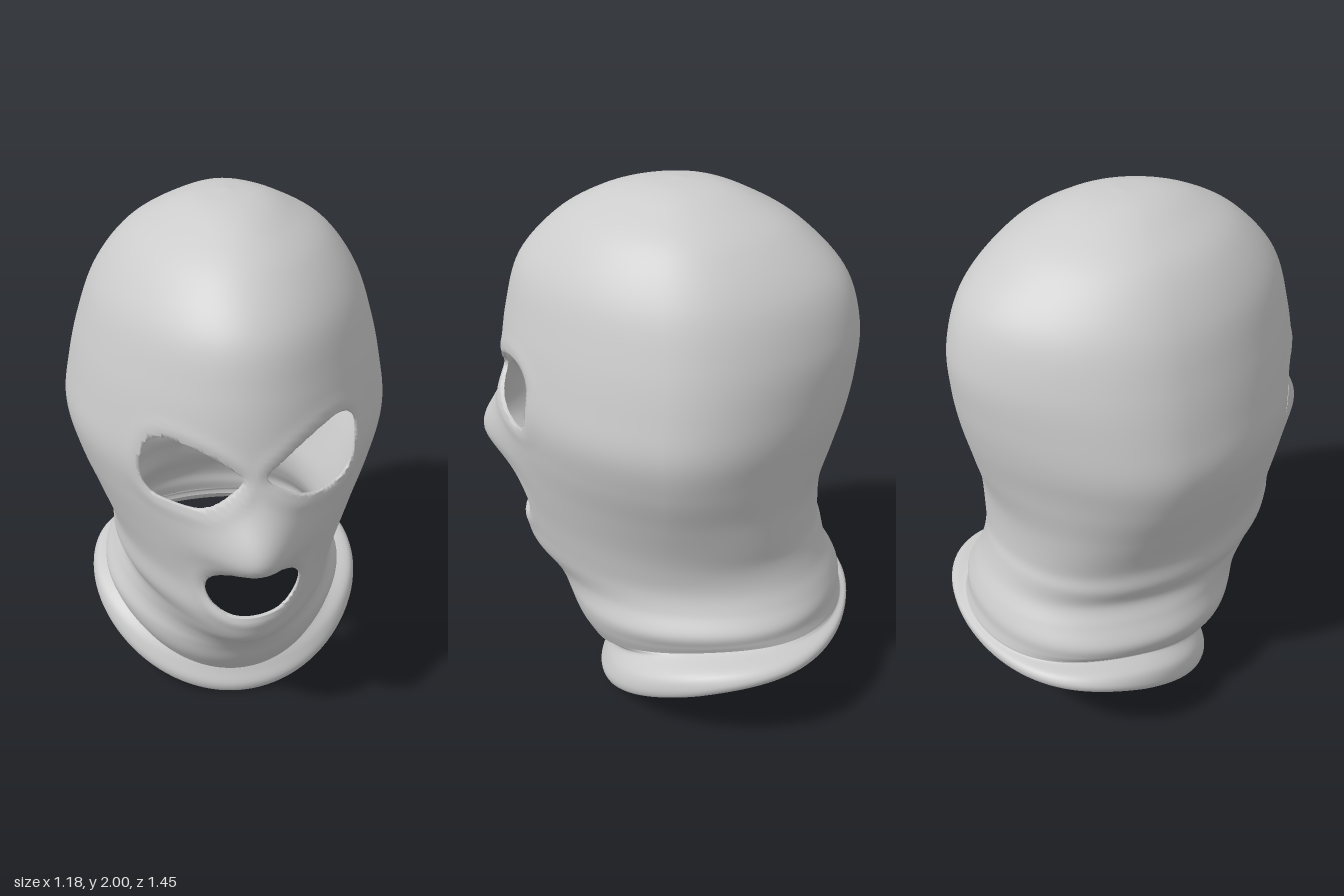
import * as THREE from 'three';
import { mergeVertices } from 'three/addons/utils/BufferGeometryUtils.js';

// Cross-sections from crown to hem:
// [height at front, side, back,  z at front, widest, back,  half width, x offset]
const level = (y, zf, zm, zb, w) => [y, y, y, zf, zm, zb, w, 0];
const HOOD = [
  level(2.0, -0.06, -0.06, -0.06, 0),
  level(1.985, 0.1, -0.06, -0.2, 0.12),
  level(1.94, 0.24, -0.08, -0.33, 0.225),
  level(1.85, 0.39, -0.1, -0.49, 0.36),
  level(1.7, 0.525, -0.12, -0.64, 0.468),
  level(1.52, 0.58, -0.14, -0.697, 0.533),
  level(1.35, 0.605, -0.15, -0.692, 0.573),
  level(1.2, 0.61, -0.15, -0.668, 0.592),
  level(1.05, 0.6, -0.15, -0.63, 0.558),
  level(0.9, 0.585, -0.13, -0.592, 0.5),
  level(0.75, 0.57, -0.1, -0.59, 0.445),
  [0.62, 0.65, 0.68, 0.565, -0.1, -0.605, 0.43, -0.01],
  [0.52, 0.57, 0.6, 0.535, -0.12, -0.63, 0.412, 0],
  [0.43, 0.5, 0.53, 0.445, -0.15, -0.665, 0.435, -0.005],
  [0.35, 0.43, 0.475, 0.385, -0.17, -0.685, 0.472, -0.005],
  [0.26, 0.38, 0.425, 0.34, -0.2, -0.69, 0.462, -0.005],
  [0.17, 0.35, 0.385, 0.28, -0.22, -0.7, 0.445, 0],
];
const COLLAR = [
  HOOD[HOOD.length - 1],
  [0.16, 0.345, 0.375, 0.205, -0.23, -0.703, 0.46, 0.01],
  [0.1, 0.33, 0.365, 0.215, -0.25, -0.722, 0.53, 0.018],
  [0.04, 0.29, 0.35, 0.235, -0.28, -0.728, 0.552, 0.02],
  [0.0, 0.255, 0.325, 0.22, -0.28, -0.722, 0.54, 0.02],
  [0.03, 0.265, 0.34, 0.195, -0.28, -0.695, 0.515, 0.02],
  [0.12, 0.32, 0.37, 0.185, -0.26, -0.675, 0.455, 0.01],
];

// Openings, as outlines seen from the front
const outline = (pts) => new THREE.CatmullRomCurve3(
  pts.map(([x, y]) => new THREE.Vector3(x, y, 0)), true, 'centripetal').getPoints(60);
const OPENINGS = [
  [[-0.04, 1.24], [-0.1, 1.295], [-0.2, 1.34], [-0.28, 1.353], [-0.33, 1.33], [-0.362, 1.26],
    [-0.362, 1.17], [-0.33, 1.12], [-0.25, 1.108], [-0.17, 1.12], [-0.09, 1.18]],
  [[0.035, 1.245], [0.1, 1.305], [0.18, 1.355], [0.28, 1.388], [0.33, 1.378], [0.37, 1.33],
    [0.372, 1.2], [0.34, 1.14], [0.27, 1.122], [0.18, 1.142], [0.1, 1.185]],
  [[-0.16, 0.76], [-0.14, 0.82], [-0.07, 0.867], [0, 0.877], [0.08, 0.867], [0.15, 0.82],
    [0.178, 0.76], [0.168, 0.7], [0.12, 0.65], [0.02, 0.637], [-0.08, 0.647], [-0.14, 0.69]],
].map(outline);

// Distance to the nearest opening, negative inside it
function openingDistance(x, y) {
  let best = 1, inside = false;
  for (const pts of OPENINGS) {
    for (let i = 0; i < pts.length - 1; i++) {
      const a = pts[i], b = pts[i + 1], dx = b.x - a.x, dy = b.y - a.y;
      const t = THREE.MathUtils.clamp(
        ((x - a.x) * dx + (y - a.y) * dy) / (dx * dx + dy * dy || 1), 0, 1);
      best = Math.min(best, Math.hypot(x - a.x - dx * t, y - a.y - dy * t));
      if ((a.y > y) !== (b.y > y) && x < a.x + (dx * (y - a.y)) / dy) inside = !inside;
    }
  }
  return inside ? -best : best;
}

const bell = (d, width) => Math.exp(-((d / width) ** 2));
const { smoothstep, lerp } = THREE.MathUtils;

// Smooth surface through a list of sections: angle 0 is the front, +x is positive
function loft(sections) {
  const curve = (k) => new THREE.CatmullRomCurve3(
    sections.map((s) => new THREE.Vector3(s[k], s[k + 1], s[k + 2] ?? 0)), false, 'catmullrom', 0.5);
  const heights = curve(0), depths = curve(3), widths = curve(6);
  return (t) => {
    const h = heights.getPoint(t), d = depths.getPoint(t), w = widths.getPoint(t);
    // The face and jaw narrow forwards; the skull narrows backwards, the neck is fuller there
    const front = smoothstep(h.y, 0.35, 0.47) * (0.12 + 0.14 * bell(h.y - 0.56, 0.17));
    const back = lerp(-0.16, 0.2, smoothstep(h.y, 0.75, 1.15));
    return (a) => {
      const c = Math.cos(a), s = Math.sin(a), mid = (h.x + h.z) / 2;
      const pinch = 1 - (c > 0 ? front : back) * c * c;
      const p = new THREE.Vector3(
        w.y + w.x * s * pinch,
        mid + ((h.x - h.z) / 2) * c + (h.y - mid) * s * s,
        d.y + (c > 0 ? d.x - d.y : d.y - d.z) * c);
      p.f = 1;
      if (p.z > 0.1 && p.y > 0.45) {
        // Nose, then soft borders around the openings
        p.z += 0.132 * bell(p.x, 0.16) * bell(p.y - 0.96, p.y > 0.96 ? 0.165 : 0.1);
        p.f = openingDistance(p.x, p.y);
        p.z += 0.005 * bell(p.f - 0.03, 0.025) - 0.006 * bell(p.f, 0.015);
      }
      return p;
    };
  };
}

function buildSurface(sections, around, rowsPerSection) {
  const rows = (sections.length - 1) * rowsPerSection;
  const surface = loft(sections);
  const grid = [];
  for (let j = 0; j <= rows; j++) {
    const ring = surface(j / rows);
    grid.push(Array.from({ length: around }, (_, i) => ring(-Math.PI + (2 * Math.PI * i) / around)));
  }
  const out = [];
  const emit = (...pts) => {
    for (let k = 1; k < pts.length - 1; k++) {
      for (const p of [pts[0], pts[k], pts[k + 1]]) out.push(p.x, p.y, p.z);
    }
  };
  // Clip each triangle at the openings and turn the cut edge inward
  const turned = (p) => new THREE.Vector3(p.x, p.y, p.z - 0.015);
  const clip = (tri) => {
    const kept = [];
    let exit, entry;
    tri.forEach((p, k) => {
      const q = tri[(k + 1) % 3];
      if (p.f >= 0) kept.push(p);
      if ((p.f >= 0) !== (q.f >= 0)) {
        const cut = p.f >= 0
          ? p.clone().lerp(q, p.f / (p.f - q.f))
          : q.clone().lerp(p, q.f / (q.f - p.f));
        kept.push(cut);
        if (p.f >= 0) exit = cut; else entry = cut;
      }
    });
    if (kept.length > 2) emit(...kept);
    if (exit && entry) emit(entry, exit, turned(exit), turned(entry));
  };
  for (let j = 0; j < rows; j++) {
    for (let i = 0; i < around; i++) {
      const n = (i + 1) % around;
      const a = grid[j][i], b = grid[j + 1][i], c = grid[j + 1][n], d = grid[j][n];
      clip([a, b, c]);
      if (a.distanceTo(d) > 1e-6) clip([a, c, d]);
    }
  }
  let geometry = new THREE.BufferGeometry();
  geometry.setAttribute('position', new THREE.Float32BufferAttribute(out, 3));
  geometry = mergeVertices(geometry, 1e-4);
  geometry.computeVertexNormals();
  return geometry;
}

export function createModel() {
  const group = new THREE.Group();
  group.name = 'balaclava';
  const fabric = new THREE.MeshStandardMaterial({ color: 0xcccccc, side: THREE.DoubleSide });
  const add = (name, geometry) => {
    const mesh = new THREE.Mesh(geometry, fabric);
    mesh.name = name;
    group.add(mesh);
  };
  // Hood with eye and mouth openings, and the rolled collar below it
  add('hood', buildSurface(HOOD, 200, 8));
  add('collar', buildSurface(COLLAR, 100, 5));
  return group;
}
